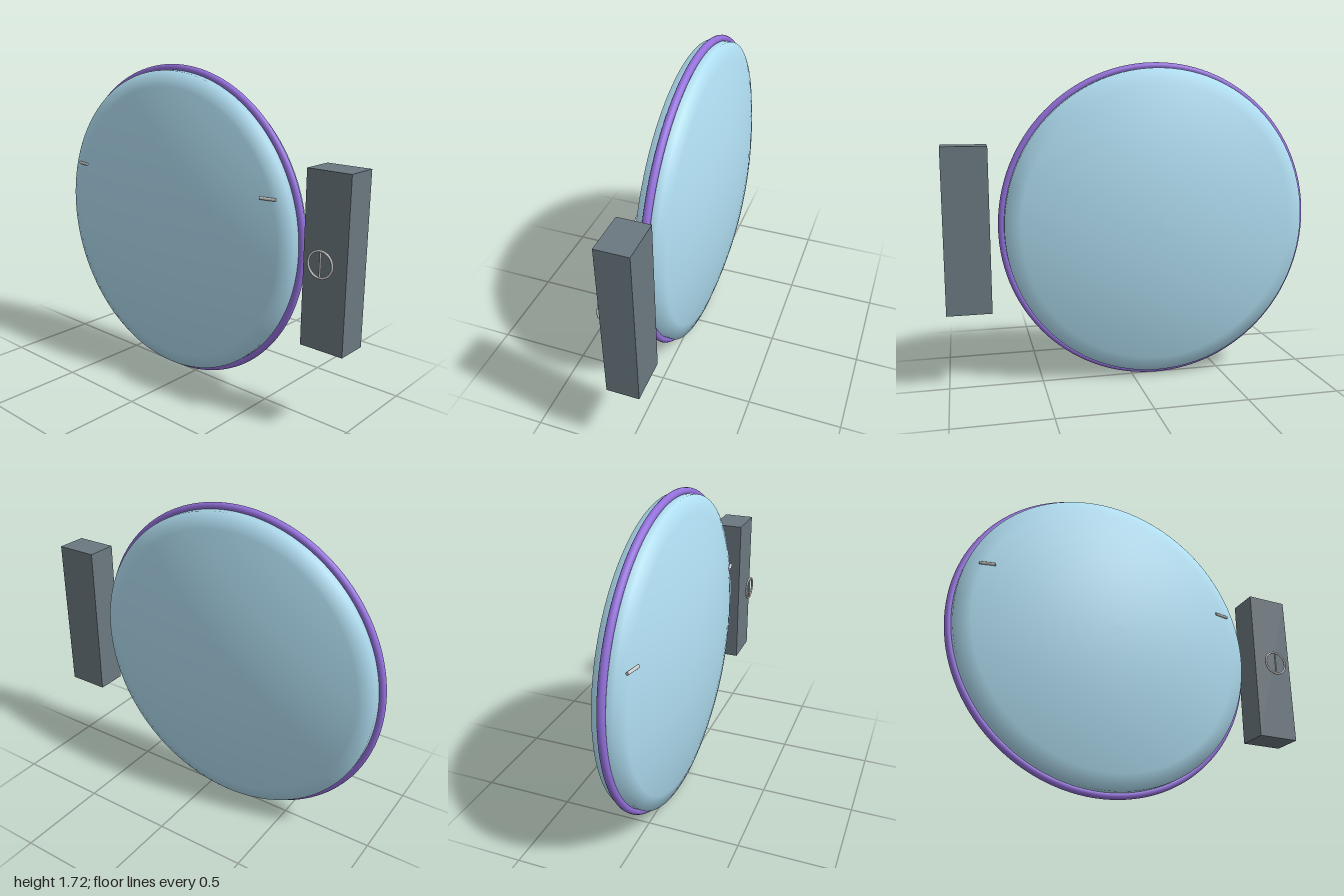
import * as THREE from 'three';

const CY = 0.865, CZ = -0.14; // disc centre

function part(parent, name, geometry, color, x, y, z) {
  const mesh = new THREE.Mesh(geometry, new THREE.MeshStandardMaterial({ color }));
  mesh.name = name;
  mesh.position.set(x, y, z);
  parent.add(mesh);
  return mesh;
}

export function createModel() {
  const model = new THREE.Group();
  model.name = 'lensDisc';

  // Thick biconvex lens: domed faces joined by a narrow flat rim
  const R = 0.83, bulge = (r) => 0.19 - 0.137 * (r / R) ** 2;
  const radii = Array.from({ length: 11 }, (_, i) => (R * i) / 10);
  const profile = [
    ...radii.map((r) => new THREE.Vector2(r, -bulge(r))),
    ...radii.slice().reverse().map((r) => new THREE.Vector2(r, bulge(r))),
  ];
  const lens = part(model, 'lens', new THREE.LatheGeometry(profile, 96), 0xb0def2, 0, CY, CZ);
  lens.rotation.z = Math.PI / 2;

  // Coloured band around the rim
  const band = part(model, 'rimBand', new THREE.TorusGeometry(0.84, 0.02, 16, 128), 0x9370db, 0, CY, CZ);
  band.rotation.y = Math.PI / 2;

  // Upright block in front of the disc
  part(model, 'block', new THREE.BoxGeometry(0.17, 0.87, 0.235), 0x6b7880, 0, CY, 0.8825);

  // Ring with a slim spoke beside the block
  const ring = new THREE.Group();
  ring.name = 'ring';
  ring.position.set(-0.12, 0.87, 0.88);
  ring.rotation.y = Math.PI / 2;
  part(ring, 'ringLoop', new THREE.TorusGeometry(0.065, 0.006, 10, 40), 0xcccccc, 0, 0, 0);
  part(ring, 'ringSpoke', new THREE.CylinderGeometry(0.005, 0.005, 0.12, 10), 0xcccccc, 0, 0, 0);
  model.add(ring);

  // Small pins lying on the lens, one near each end
  for (const s of [-1, 1]) {
    const pin = part(model, s < 0 ? 'backPin' : 'frontPin',
      new THREE.CylinderGeometry(0.008, 0.008, 0.085, 12), 0xcccccc, -0.09, 1.12, CZ + s * 0.69);
    pin.rotation.set(Math.PI / 2, 0, -s * 0.2);
  }

  return model;
}
